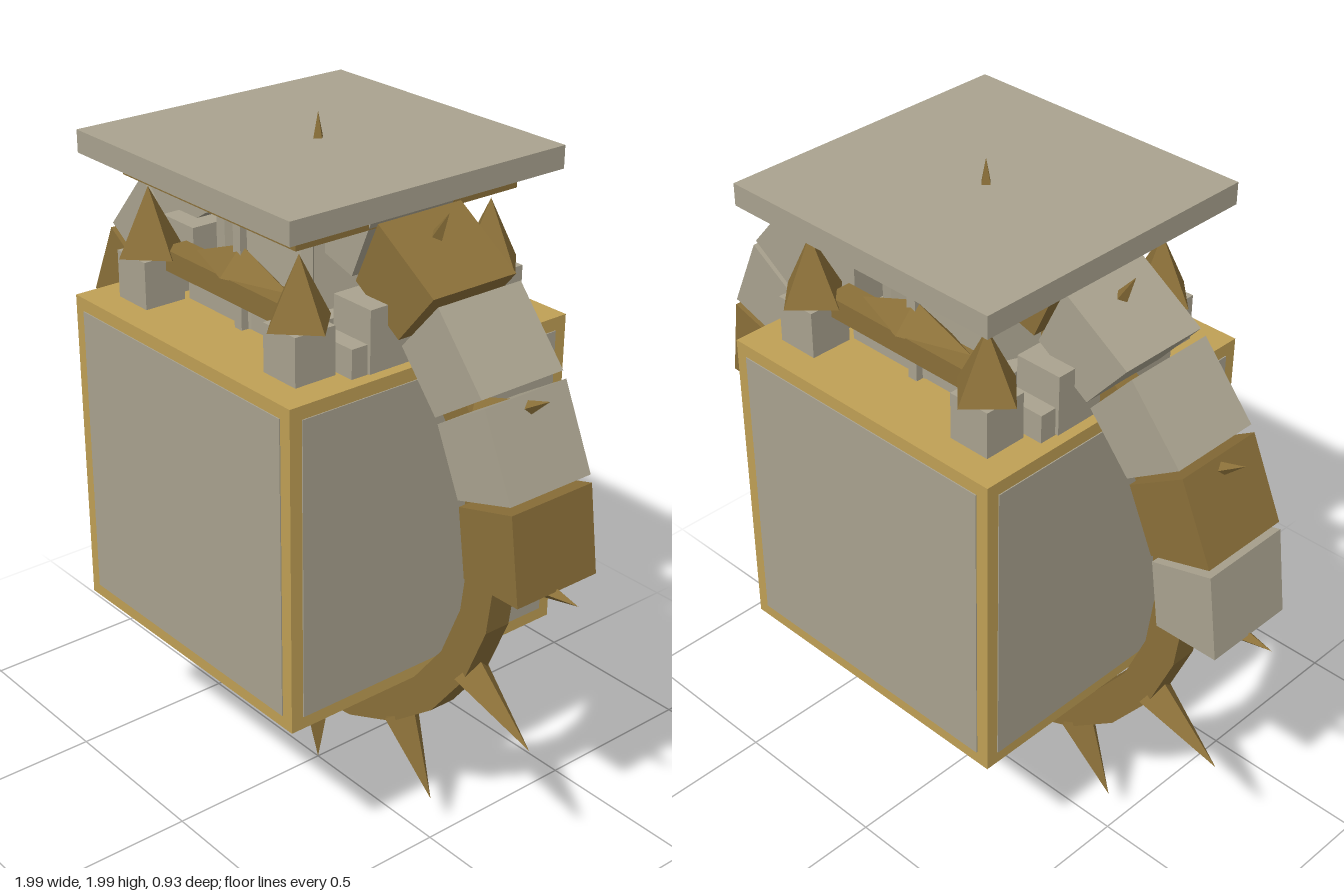
import * as THREE from 'three';

const mat = (color) => new THREE.MeshStandardMaterial({ color, flatShading: true });

export function createModel() {
  const model = new THREE.Group();
  const bronze = mat(0x8b7039), trim = mat(0xc0a055), stone = mat(0xaaa38f);

  function add(name, geometry, material, x = 0, y = 0, z = 0) {
    const mesh = new THREE.Mesh(geometry, material);
    mesh.name = name;
    mesh.position.set(x, y, z);
    model.add(mesh);
    return mesh;
  }
  const box = (name, material, w, h, d, x, y, z) =>
    add(name, new THREE.BoxGeometry(w, h, d), material, x, y, z);
  const polar = (r, a) => new THREE.Vector2(Math.cos(a) * r, Math.sin(a) * r);
  const slab = (shape, depth) =>
    new THREE.ExtrudeGeometry(shape, { depth, bevelEnabled: false }).translate(0, 0, -depth / 2);

  // Cube with a framed panel on each of its four sides
  box('cube', trim, 0.924, 0.924, 0.924, 0, 1.005, 0);
  for (let i = 0; i < 4; i++) {
    const a = i * Math.PI / 2;
    const panel = box('cubePanel', stone, 0.85, 0.85, 0.008, Math.sin(a) * 0.461, 1.005, Math.cos(a) * 0.461);
    panel.rotation.y = a;
  }

  // Flat ring of 24 sides standing around the cube
  const circle = (r) => Array.from({ length: 24 }, (_, i) => polar(r, i * Math.PI / 12));
  const ring = new THREE.Shape(circle(0.75));
  ring.holes.push(new THREE.Path(circle(0.65)));
  add('ring', slab(ring, 0.08), bronze, 0, 1, 0);

  // Twelve four-sided spikes
  for (let i = 0; i < 12; i++) {
    const a = i * Math.PI / 6, p = polar(0.865, a);
    const spike = add('spike', new THREE.ConeGeometry(0.06, 0.26, 4), bronze, p.x, 1 + p.y, 0);
    spike.rotation.z = a - Math.PI / 2;
  }

  // Arch of eleven wedge blocks over the upper half of the ring
  const step = Math.PI / 11, half = step * 0.46;
  for (let i = 0; i < 11; i++) {
    const a = (i + 0.5) * step;
    const wedge = new THREE.Shape([
      polar(0.735, a - half), polar(0.923, a - half), polar(0.923, a + half), polar(0.735, a + half),
    ]);
    add('archBlock', slab(wedge, 0.27), i % 3 === 0 ? bronze : stone, 0, 1, 0);
  }

  // Octagonal drum with a post on each corner
  box('drumBase', stone, 0.5, 0.09, 0.48, 0, 1.505, 0);
  add('drum', new THREE.CylinderGeometry(0.25, 0.25, 0.35, 8), stone, 0, 1.64, 0);
  for (let i = 0; i < 8; i++) {
    const a = i * Math.PI / 4;
    const post = box('drumPost', stone, 0.03, 0.35, 0.03, Math.sin(a) * 0.25, 1.64, Math.cos(a) * 0.25);
    post.rotation.y = a;
  }

  for (const s of [-1, 1]) {
    // Beam with a low peak, front and back
    box('beam', bronze, 0.54, 0.06, 0.08, 0, 1.592, s * 0.27);
    const peak = add('beamPeak', new THREE.ConeGeometry(1, 0.075, 4), bronze, 0, 1.658, s * 0.25);
    peak.scale.set(0.2, 1, 0.07);
    // Stepped side buttress
    box('buttress', stone, 0.14, 0.17, 0.38, s * 0.365, 1.555, 0);
    box('buttressStep', stone, 0.13, 0.08, 0.48, s * 0.36, 1.507, 0);
    // Corner towers with pointed roofs
    for (const t of [-1, 1]) {
      box('cornerTower', stone, 0.125, 0.135, 0.125, s * 0.315, 1.532, t * 0.315);
      add('towerRoof', new THREE.ConeGeometry(0.1, 0.18, 4), bronze, s * 0.315, 1.69, t * 0.315);
    }
  }

  // Stacked top slabs
  box('lowerSlab', bronze, 0.72, 0.055, 0.72, 0, 1.837, 0);
  box('topSlab', stone, 0.885, 0.062, 0.885, 0, 1.895, 0);

  return model;
}
